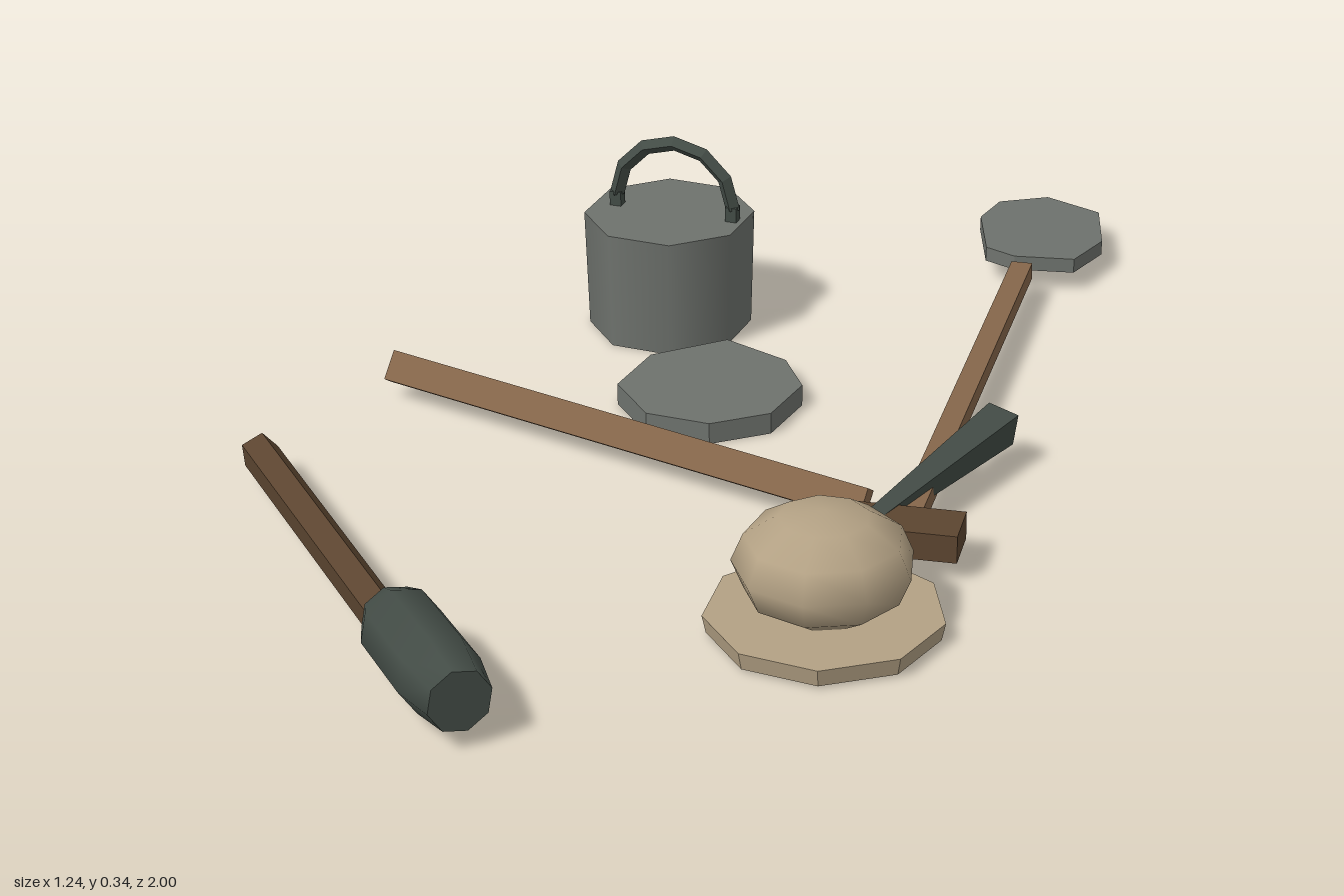
import * as THREE from 'three';
import { toCreasedNormals } from 'three/addons/utils/BufferGeometryUtils.js';

const paint = (name, color) => {
  const m = new THREE.MeshStandardMaterial({ color });
  m.name = name;
  return m;
};

export function createModel() {
  const model = new THREE.Group();
  model.name = 'campGear';
  const tan = paint('tan', 0xb3a184);
  const iron = paint('iron', 0x6e726d);
  const darkIron = paint('darkIron', 0x434c46);
  const wood = paint('wood', 0x85664a);
  const darkWood = paint('darkWood', 0x5c4530);

  const add = (name, geometry, material, x = 0, y = 0, z = 0) => {
    const mesh = new THREE.Mesh(geometry, material);
    mesh.name = name;
    mesh.position.set(x, y, z);
    model.add(mesh);
    return mesh;
  };
  const flat = (g) => toCreasedNormals(g, 0.1);

  // Lay a geometry whose length runs along z between two points
  const lay = (name, makeGeometry, material, from, to, roll = 0) => {
    const a = new THREE.Vector3(...from), b = new THREE.Vector3(...to);
    const mesh = add(name, makeGeometry(a.distanceTo(b)), material);
    mesh.position.copy(a).add(b).multiplyScalar(0.5);
    mesh.lookAt(b);
    mesh.rotateZ(roll);
    return mesh;
  };
  const rod = (rStart, rEnd, sides) => (len) =>
    flat(new THREE.CylinderGeometry(rEnd, rStart, len, sides).rotateX(Math.PI / 2));
  const plank = (w, h) => (len) => new THREE.BoxGeometry(w, h, len);

  // Flat irregular plate from [x, z] outline points
  const plate = (points, depth) => {
    const shape = new THREE.Shape(points.map(([x, z]) => new THREE.Vector2(x, -z)));
    return new THREE.ExtrudeGeometry(shape, { depth, bevelEnabled: false }).rotateX(-Math.PI / 2);
  };

  // Shovel: blade and shaft
  const blade = add('shovelBlade', plate([
    [-0.28, -0.99], [-0.17, -1], [-0.08, -0.9], [-0.06, -0.8],
    [-0.14, -0.735], [-0.2, -0.73], [-0.3, -0.83], [-0.325, -0.91],
  ], 0.025), iron, 0, 0.063, 0);
  blade.rotation.x = -0.035;
  lay('shovelShaft', plank(0.036, 0.03), wood, [-0.11, 0.05, -0.72], [0.37, 0.05, 0.1]);

  // Pan lying on the ground
  add('pan', plate([
    [-0.35, -0.06], [-0.3, -0.19], [-0.175, -0.2], [-0.09, -0.15],
    [-0.055, -0.04], [-0.1, 0.055], [-0.2, 0.098], [-0.31, 0.055],
  ], 0.036), iron);

  // Cooking pot with a hoop handle
  add('pot', new THREE.CylinderGeometry(0.143, 0.137, 0.202, 8), iron, -0.477, 0.101, -0.232);
  const hoop = add('potHandle',
    flat(new THREE.TorusGeometry(0.104, 0.013, 4, 6, Math.PI)), darkIron, -0.47, 0.222, -0.238);
  hoop.rotation.y = 0.42;
  for (const side of [-1, 1]) {
    add('potHandleLeg', new THREE.BoxGeometry(0.02, 0.04, 0.02), darkIron,
      -0.47 + side * 0.095, 0.207, -0.238 - side * 0.042).rotation.y = 0.42;
  }

  // Loose pole leaning on its edge
  lay('pole', plank(0.02, 0.05), wood, [-0.6, 0.052, 0.285], [0.29, 0.052, 0.11], -0.6);

  // Pick: wooden block and tapered spike
  lay('pickBlock', plank(0.082, 0.045), darkWood, [0.322, 0.055, 0.182], [0.468, 0.055, 0.092]);
  lay('pickSpike', rod(0.038, 0.014, 4), darkIron, [0.275, 0.067, -0.22], [0.367, 0.067, 0.237], Math.PI / 5);

  // Torch: handle and thick rounded head
  lay('torchHandle', rod(0.031, 0.031, 5), darkWood, [-0.52, 0.05, 0.63], [0.08, 0.06, 0.873], 0.4);
  const headProfile = [[0, 0], [0.047, 0], [0.062, 0.04], [0.063, 0.2], [0.049, 0.283], [0, 0.283]]
    .map(([r, y]) => new THREE.Vector2(r, y - 0.1415));
  lay('torchHead', () => toCreasedNormals(
    new THREE.LatheGeometry(headProfile, 8).rotateX(Math.PI / 2), 0.9),
  darkIron, [0.052, 0.068, 0.852], [0.31, 0.076, 0.955], 0.2);

  // Hat: faceted brim and round crown
  add('hatBrim', flat(new THREE.CylinderGeometry(0.18, 0.174, 0.028, 9)), tan, 0.442, 0.018, 0.363);
  const crown = new THREE.SphereGeometry(0.136, 9, 6).scale(1, 0.64, 1);
  add('hatCrown', crown, tan, 0.44, 0.108, 0.363);

  return model;
}
